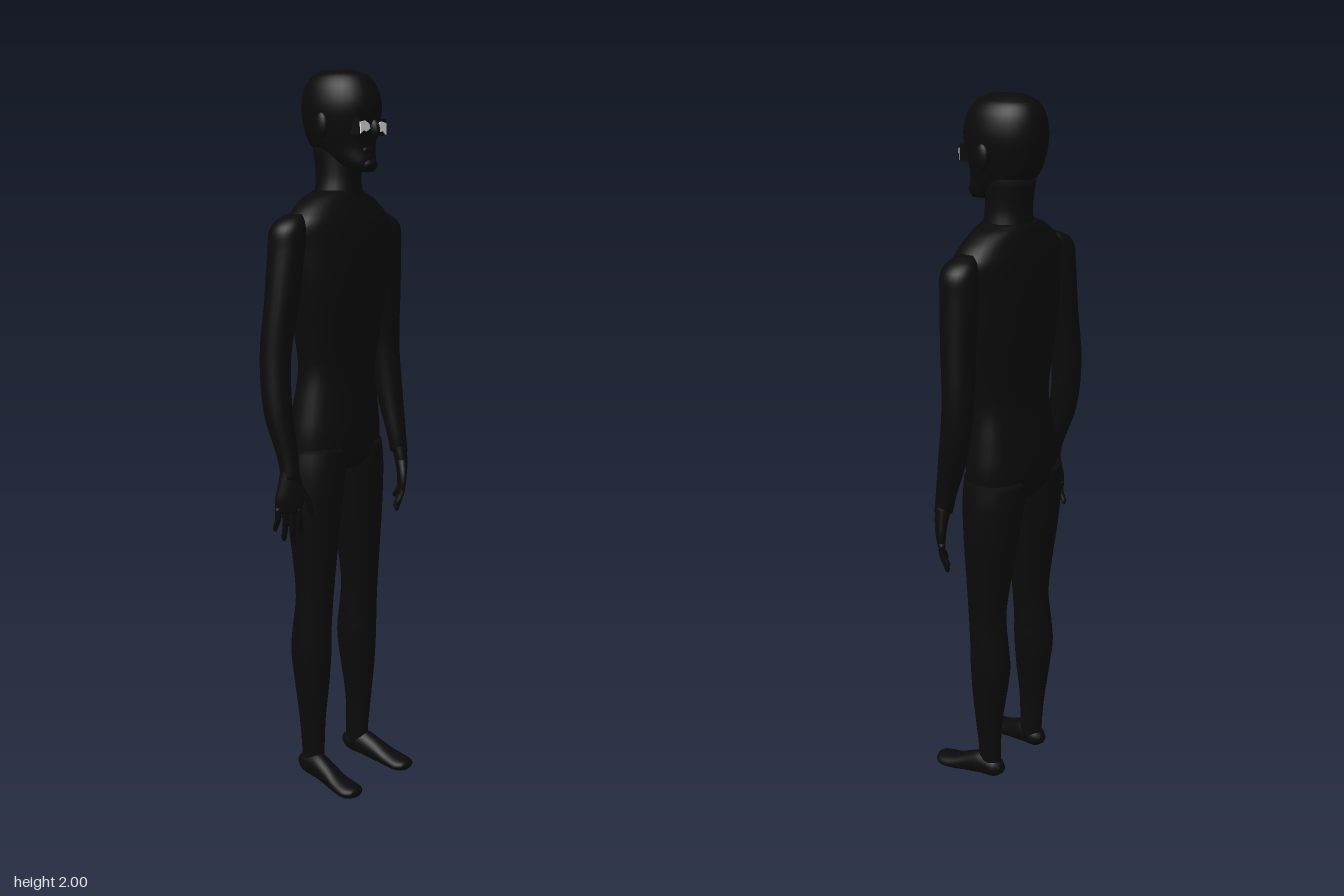
import * as THREE from 'three';

const skin = new THREE.MeshStandardMaterial({ color: 0x0a0a0a });
skin.name = 'black';
const pale = new THREE.MeshStandardMaterial({ color: 0xe4e4e4 });
pale.name = 'pale';

// Smooth capped loft through rings [y, x, z, rx, rz], listed from bottom to top.
function loft(rings, { sides = 24, steps = 4, yaw = 0, power = 1 } = {}) {
  const path = new THREE.CatmullRomCurve3(rings.map(r => new THREE.Vector3(r[1], r[0], r[2])));
  const size = new THREE.CatmullRomCurve3(rings.map(r => new THREE.Vector3(r[3], r[0], r[4])));
  const pos = [], index = [], n = (rings.length - 1) * steps;
  const bend = v => Math.sign(v) * Math.abs(v) ** power;
  for (let i = -1; i <= n + 1; i++) {
    const t = Math.min(Math.max(i / n, 0), 1);
    const c = path.getPoint(t), s = size.getPoint(t);
    const k = i < 0 || i > n ? 0 : 1;
    for (let j = 0; j < sides; j++) {
      const a = (j / sides) * Math.PI * 2;
      const u = bend(Math.cos(a)) * s.x * k, w = bend(Math.sin(a)) * s.z * k;
      pos.push(c.x + u * Math.cos(yaw) + w * Math.sin(yaw), c.y, c.z - u * Math.sin(yaw) + w * Math.cos(yaw));
    }
  }
  for (let i = 0; i < n + 2; i++) {
    for (let j = 0; j < sides; j++) {
      const a = i * sides + j, b = i * sides + (j + 1) % sides;
      index.push(a, a + sides, b, b, a + sides, b + sides);
    }
  }
  const g = new THREE.BufferGeometry();
  g.setAttribute('position', new THREE.Float32BufferAttribute(pos, 3));
  g.setIndex(index);
  g.computeVertexNormals();
  return g;
}

export function createModel() {
  const model = new THREE.Group();
  model.name = 'figure';
  const add = (name, geometry, material = skin, parent = model) => {
    const mesh = new THREE.Mesh(geometry, material);
    mesh.name = name;
    parent.add(mesh);
    return mesh;
  };
  const ball = (name, p, s, parent) => {
    const m = add(name, new THREE.SphereGeometry(1, 16, 12), skin, parent);
    m.position.set(...p);
    m.scale.set(...s);
    return m;
  };

  // Trunk
  add('torso', loft([
    [0.92, 0, -0.045, 0.09, 0.06], [0.96, 0, -0.045, 0.15, 0.088], [1.02, 0, -0.045, 0.156, 0.094],
    [1.1, 0, -0.042, 0.145, 0.087], [1.2, 0, -0.037, 0.131, 0.078], [1.3, 0, -0.033, 0.145, 0.088],
    [1.42, 0, -0.028, 0.168, 0.101], [1.54, 0, -0.027, 0.182, 0.101], [1.6, 0, -0.028, 0.188, 0.093],
    [1.64, 0, -0.03, 0.155, 0.08], [1.67, 0, -0.032, 0.11, 0.07], [1.685, 0, -0.033, 0.07, 0.063],
  ], { sides: 36, power: 0.88 }));
  add('neck', loft([
    [1.62, 0, -0.032, 0.085, 0.075], [1.68, 0, -0.03, 0.067, 0.067],
    [1.72, 0, -0.03, 0.06, 0.064], [1.8, 0, -0.035, 0.062, 0.07],
  ]));

  // Head
  const head = new THREE.Group();
  head.name = 'head';
  model.add(head);
  add('skull', loft([
    [1.735, 0, 0.06, 0.025, 0.027], [1.755, 0, 0.033, 0.046, 0.058], [1.8, 0, -0.012, 0.066, 0.096],
    [1.85, 0, -0.02, 0.082, 0.112], [1.905, 0, -0.02, 0.09, 0.12], [1.955, 0, -0.023, 0.081, 0.109],
    [1.985, 0, -0.026, 0.062, 0.088], [2, 0, -0.03, 0.036, 0.055],
  ], { sides: 32 }), skin, head);
  ball('chin', [0, 1.753, 0.072], [0.028, 0.02, 0.024], head);
  ball('mouth', [0, 1.79, 0.072], [0.028, 0.016, 0.016], head);
  ball('nose', [0, 1.845, 0.09], [0.012, 0.028, 0.02], head).rotation.x = -0.2;
  const brow = add('eyeBand', new THREE.BoxGeometry(0.112, 0.042, 0.03), skin, head);
  brow.position.set(0, 1.852, 0.073);

  for (const s of [1, -1]) {
    const side = s > 0 ? 'left' : 'right';
    const mirror = rings => rings.map(([y, x, ...r]) => [y, x * s, ...r]);

    ball(side + 'Ear', [0.09 * s, 1.855, -0.015], [0.011, 0.034, 0.022], head);

    // Angular pale eye
    const eye = new THREE.Shape([[0.014, 1.846], [0.03, 1.838], [0.04, 1.842], [0.054, 1.832], [0.055, 1.862], [0.034, 1.866], [0.018, 1.858]]
      .map(([x, y]) => new THREE.Vector2(x * s, y)));
    add(side + 'Eye', new THREE.ExtrudeGeometry(eye, { depth: 0.004, bevelEnabled: false }), pale, head).position.z = 0.0875;

    // Arm
    add(side + 'Arm', loft(mirror([
      [0.93, 0.24, 0, 0.024, 0.026], [0.98, 0.238, -0.008, 0.027, 0.029], [1.1, 0.242, -0.038, 0.037, 0.04],
      [1.25, 0.236, -0.052, 0.04, 0.044], [1.4, 0.22, -0.042, 0.045, 0.048], [1.53, 0.208, -0.036, 0.046, 0.052],
      [1.585, 0.203, -0.034, 0.046, 0.05], [1.61, 0.192, -0.034, 0.034, 0.04], [1.625, 0.178, -0.033, 0.016, 0.022],
    ])));

    // Hand, turned so the thumb points forward and inward
    const hand = new THREE.Group();
    hand.name = side + 'Hand';
    model.add(hand);
    const yaw = s * Math.PI / 4;
    add('palm', loft(mirror([
      [0.835, 0.25, 0.002, 0.034, 0.011], [0.87, 0.248, 0.005, 0.039, 0.015],
      [0.91, 0.244, 0.004, 0.033, 0.019], [0.95, 0.24, -0.001, 0.025, 0.023],
    ]), { yaw }), skin, hand);
    const across = (d, x, z) => [x + d * 0.707, z - d * 0.707];
    [0.77, 0.75, 0.755, 0.782].forEach((tip, i) => {
      const d = -0.027 + i * 0.018;
      const [x0, z0] = across(d, 0.25, 0.002);
      const [x1, z1] = across(d * 1.1, 0.247, 0.002);
      const [x2, z2] = across(d * 1.3, 0.239, -0.008);
      add('finger', loft(mirror([
        [tip, x2, z2, 0.004, 0.004], [tip + 0.008, x2, z2, 0.007, 0.007],
        [(tip + 0.85) / 2, x1, z1, 0.008, 0.008], [0.85, x0, z0, 0.0095, 0.0095],
      ]), { sides: 10 }), skin, hand);
    });
    add('thumb', loft(mirror([
      [0.825, 0.204, 0.042, 0.004, 0.004], [0.835, 0.205, 0.042, 0.008, 0.008],
      [0.87, 0.212, 0.038, 0.01, 0.01], [0.915, 0.234, 0.015, 0.014, 0.014],
    ]), { sides: 10 }), skin, hand);

    // Leg
    add(side + 'Leg', loft(mirror([
      [0.05, 0.1, -0.045, 0.027, 0.036], [0.1, 0.1, -0.044, 0.027, 0.036], [0.2, 0.104, -0.043, 0.032, 0.042],
      [0.3, 0.103, -0.045, 0.044, 0.053], [0.4, 0.102, -0.048, 0.053, 0.061], [0.47, 0.102, -0.044, 0.052, 0.058],
      [0.56, 0.1, -0.036, 0.052, 0.055], [0.68, 0.097, -0.038, 0.06, 0.066], [0.8, 0.093, -0.043, 0.072, 0.079],
      [0.92, 0.085, -0.046, 0.081, 0.089], [0.99, 0.08, -0.046, 0.077, 0.088],
    ])));

    // Foot, lofted from heel to toe and laid forward
    const foot = loft(mirror([
      [-0.09, 0.1, -0.055, 0.014, 0.014], [-0.07, 0.101, -0.055, 0.027, 0.03], [-0.02, 0.105, -0.055, 0.03, 0.038],
      [0.03, 0.111, -0.04, 0.031, 0.032], [0.07, 0.116, -0.027, 0.035, 0.024], [0.11, 0.118, -0.02, 0.037, 0.019],
      [0.132, 0.118, -0.021, 0.026, 0.014], [0.14, 0.118, -0.022, 0.012, 0.008],
    ]));
    add(side + 'Foot', foot.rotateX(Math.PI / 2));
  }
  return model;
}
